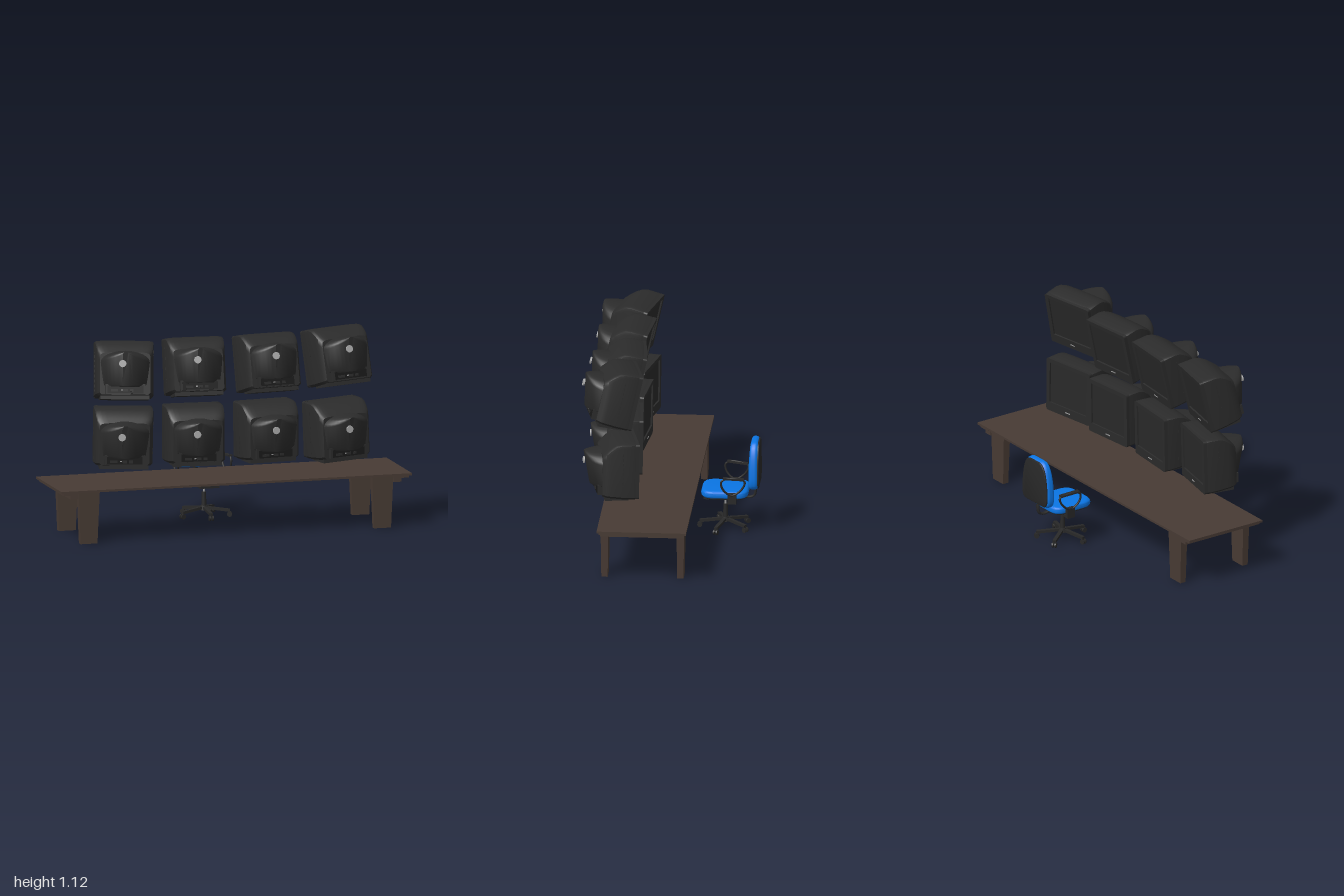
import * as THREE from 'three';
import { toCreasedNormals } from 'three/addons/utils/BufferGeometryUtils.js';

const mat = (name, color) => {
  const m = new THREE.MeshStandardMaterial({ color });
  m.name = name;
  return m;
};
const wood = mat('dark wood', 0x483b34);
const blue = mat('blue fabric', 0x0a75e4);
const casing = mat('monitor casing', 0x2b2b2b);
const glass = mat('screen glass', 0x292929);
const recess = mat('dark recess', 0x191919);
const black = mat('black plastic', 0x282828);
const metal = mat('grey metal', 0x9a9a9a);
const silver = mat('light silver', 0xacacac);

function add(parent, name, geo, material, x = 0, y = 0, z = 0) {
  const m = new THREE.Mesh(geo, material);
  m.name = name;
  m.position.set(x, y, z);
  parent.add(m);
  return m;
}
const box = (w, h, d) => new THREE.BoxGeometry(w, h, d);
const cyl = (r0, r1, h, n = 16) => new THREE.CylinderGeometry(r0, r1, h, n);

// Closed hull through sections [z, halfWidth, bottom, top, crown]; e shapes the crown (1 = round, small = square)
// and lean pulls the lower part of the rear forwards
function loft(sections, e, lean = 0) {
  const rings = sections.map(([z, w, yb, yt, c]) => {
    const r = Math.min(0.012, w * 0.3);
    const ring = [[-w, yb + r, z], [-w + r, yb, z], [w - r, yb, z], [w, yb + r, z]];
    for (let i = 0; i <= 12; i++) {
      const t = (i / 12) * Math.PI, k = Math.cos(t);
      ring.push([Math.sign(k) * w * Math.abs(k) ** e, yt - c + c * Math.max(0, Math.sin(t)) ** e, z]);
    }
    return ring.map(([x, y, d]) => [x, y, d - lean * Math.max(0, 0.04 - y)]);
  });
  const n = rings[0].length, idx = [], last = (rings.length - 1) * n;
  for (let i = 0; i < rings.length - 1; i++)
    for (let j = 0; j < n; j++) {
      const a = i * n + j, b = i * n + (j + 1) % n;
      idx.push(a, b, b + n, a, b + n, a + n);
    }
  for (let j = 1; j < n - 1; j++) idx.push(0, j + 1, j, last, last + j, last + j + 1);
  const g = new THREE.BufferGeometry();
  g.setAttribute('position', new THREE.Float32BufferAttribute(rings.flat(2), 3));
  g.setIndex(idx);
  return toCreasedNormals(g, 0.6);
}

// Half-round tube housing, seen from above as a half ellipse
function dome(z0, depth, w, yb, yt, drop, crown, lean) {
  const s = [];
  for (let i = 0; i <= 10; i++) {
    const t = (i / 10) * 1.45;
    s.push([z0 + depth * Math.sin(t), w * Math.cos(t), yb, yt - drop * Math.sin(t), crown * Math.cos(t) + 0.004]);
  }
  return loft(s, 1, lean);
}

function roundedRect(w, h, r, rTop = r) {
  const s = new THREE.Shape(), x = w / 2, y = h / 2;
  s.moveTo(-x + r, -y);
  s.lineTo(x - r, -y);
  s.quadraticCurveTo(x, -y, x, -y + r);
  s.lineTo(x, y - rTop);
  s.quadraticCurveTo(x, y, x - rTop, y);
  s.lineTo(-x + rTop, y);
  s.quadraticCurveTo(-x, y, -x, y - rTop);
  s.lineTo(-x, -y + r);
  s.quadraticCurveTo(-x, -y, -x + r, -y);
  return s;
}
// Cushion centred on its own thickness (z)
function cushion(shape, thick, bevel) {
  const g = new THREE.ExtrudeGeometry(shape, {
    depth: thick - 2 * bevel, bevelEnabled: true, bevelThickness: bevel,
    bevelSize: bevel, bevelOffset: -bevel, bevelSegments: 4, curveSegments: 10 });
  g.translate(0, 0, -(thick - 2 * bevel) / 2);
  return toCreasedNormals(g, 0.7);
}

function makeMonitor() {
  const g = new THREE.Group();
  // bezel frame around the recessed screen, which faces -z
  const frame = roundedRect(0.322, 0.312, 0.014);
  frame.holes.push(new THREE.Path([[-0.137, -0.105], [-0.137, 0.133], [0.137, 0.133], [0.137, -0.105]]
    .map(([x, y]) => new THREE.Vector2(x, y))));
  add(g, 'bezel', new THREE.ExtrudeGeometry(frame, { depth: 0.022, bevelEnabled: false }), casing, 0, 0, -0.004);
  add(g, 'screen', box(0.276, 0.24, 0.008), glass, 0, 0.014, 0.009);
  add(g, 'button', box(0.035, 0.005, 0.004), metal, 0, -0.131, -0.004);
  // casing, sloping down to the half-round rear housing
  add(g, 'case', loft([[0.012, 0.16, -0.156, 0.156, 0.022], [0.025, 0.163, -0.158, 0.159, 0.022],
    [0.09, 0.162, -0.155, 0.158, 0.022], [0.12, 0.16, -0.152, 0.151, 0.025], [0.15, 0.157, -0.15, 0.133, 0.035],
    [0.175, 0.152, -0.147, 0.11, 0.04], [0.195, 0.138, -0.143, 0.09, 0.045]], 0.35), casing);
  add(g, 'rearHousing', dome(0.135, 0.148, 0.148, -0.1, 0.105, 0.018, 0.065, 0.24), casing);
  add(g, 'foot', box(0.27, 0.022, 0.13), casing, 0, -0.156, 0.115);
  // rear connector panel
  add(g, 'connectorBlock', box(0.22, 0.055, 0.06), casing, 0, -0.112, 0.188);
  add(g, 'connectorPanel', box(0.195, 0.042, 0.006), recess, 0, -0.114, 0.217);
  for (const [x, w] of [[-0.06, 0.04], [0, 0.025], [0.035, 0.02]])
    add(g, 'socket', box(w, 0.014, 0.005), casing, x, -0.12, 0.221);
  add(g, 'socketPin', box(0.01, 0.006, 0.004), metal, -0.02, -0.118, 0.221);
  const badge = add(g, 'badge', cyl(0.02, 0.02, 0.008, 20), silver, -0.02, 0.024, 0.28);
  badge.rotation.x = Math.PI / 2;
  // cooling ribs on both sides
  for (let i = -4; i <= 4; i++)
    for (const s of [-1, 1]) add(g, 'sideRib', box(0.004, 0.016, 0.004), casing, s * 0.161, i * 0.027 - 0.01, 0.085);
  return g;
}

function makeTable() {
  const g = new THREE.Group();
  g.name = 'table';
  add(g, 'tableTop', box(2, 0.012, 0.49), wood, 0, 0.293, 0.11);
  for (const s of [-1, 1]) {
    add(g, 'endRail', box(0.07, 0.014, 0.47), wood, s * 0.95, 0.281, 0.11);
    add(g, 'endBeam', box(0.045, 0.036, 0.46), wood, s * 0.922, 0.27, 0.11);
    for (const z of [0.32, -0.096]) {
      const leg = box(0.12, 0.288, 0.042), p = leg.attributes.position;
      for (let i = 0; i < p.count; i++)
        if (p.getY(i) < 0) { p.setX(i, p.getX(i) * 0.8); p.setZ(i, p.getZ(i) * 0.83); }
      leg.computeVertexNormals();
      add(g, 'tableLeg', leg, wood, s * 0.837, 0.144, z);
    }
  }
  return g;
}

function tube(points, r, closed = false) {
  const c = new THREE.CatmullRomCurve3(points.map(p => new THREE.Vector3(...p)), closed);
  return new THREE.TubeGeometry(c, 36, r, 8, closed);
}

function makeChair() {
  const g = new THREE.Group();
  g.name = 'chair';
  g.position.z = -0.275;
  // seat and pan
  const seat = cushion(roundedRect(0.245, 0.26, 0.07, 0.075), 0.042, 0.02).rotateX(Math.PI / 2);
  add(g, 'seat', seat, blue, 0, 0.22, 0);
  const pan = cushion(roundedRect(0.215, 0.225, 0.06), 0.016, 0.006).rotateX(Math.PI / 2);
  add(g, 'seatPan', pan, black, 0, 0.199, 0);
  add(g, 'mechanism', box(0.11, 0.024, 0.125), black, 0, 0.188, 0.055);
  // backrest with black rear shell; the cushion thins towards its top
  const back = new THREE.Shape();
  back.moveTo(-0.08, -0.132);
  back.lineTo(0.08, -0.132);
  back.bezierCurveTo(0.115, -0.132, 0.124, -0.105, 0.122, -0.06);
  back.bezierCurveTo(0.118, 0.02, 0.105, 0.132, 0.045, 0.132);
  back.lineTo(-0.045, 0.132);
  back.bezierCurveTo(-0.105, 0.132, -0.118, 0.02, -0.122, -0.06);
  back.bezierCurveTo(-0.124, -0.105, -0.115, -0.132, -0.08, -0.132);
  const rest = new THREE.Group();
  rest.name = 'backrest';
  rest.position.set(0, 0.382, -0.16);
  g.add(rest);
  const cushionGeo = cushion(back, 0.054, 0.022), p = cushionGeo.attributes.position;
  for (let i = 0; i < p.count; i++)
    if (p.getZ(i) > 0) p.setZ(i, p.getZ(i) * (1 - 2.2 * Math.max(0, p.getY(i))));
  add(rest, 'backCushion', cushionGeo, blue);
  add(rest, 'backShell', cushion(back, 0.012, 0.005).scale(0.94, 0.95, 1), black, 0, 0, -0.024);
  add(g, 'backSupport', tube([[0, 0.188, -0.02], [0, 0.184, -0.09], [0, 0.178, -0.13], [0, 0.188, -0.156],
    [0, 0.215, -0.165], [0, 0.262, -0.163]], 0.007).scale(1.8, 1, 1), black);
  // arm loops on side brackets
  for (const s of [-1, 1]) {
    add(g, 'armBracket', box(0.02, 0.06, 0.048), black, s * 0.136, 0.21, -0.045);
    add(g, 'bracketBar', box(0.1, 0.014, 0.04), black, s * 0.09, 0.187, -0.045);
    add(g, 'armLoop', tube([[s * 0.142, 0.235, -0.03], [s * 0.15, 0.27, 0.005], [s * 0.152, 0.312, 0.012],
      [s * 0.15, 0.329, -0.02], [s * 0.142, 0.324, -0.08], [s * 0.136, 0.31, -0.115],
      [s * 0.138, 0.275, -0.105], [s * 0.142, 0.235, -0.06]], 0.006, true), black);
    const pad = add(g, 'armPad', box(0.028, 0.009, 0.115), black, s * 0.143, 0.326, -0.055);
    pad.rotation.set(-0.08, s * 0.12, 0);
  }
  // gas lift
  add(g, 'liftSleeve', cyl(0.012, 0.014, 0.09), black, 0, 0.093, 0);
  add(g, 'liftRod', cyl(0.006, 0.006, 0.06), metal, 0, 0.158, 0);
  add(g, 'hub', cyl(0.02, 0.024, 0.025), black, 0, 0.05, 0);
  // five-star base with twin-wheel casters
  for (let i = 0; i < 5; i++) {
    const arm = new THREE.Group();
    arm.name = 'baseArm';
    arm.rotation.y = (i / 5) * Math.PI * 2;
    g.add(arm);
    const spoke = add(arm, 'spoke', box(0.02, 0.015, 0.135), black, 0, 0.043, 0.075);
    spoke.rotation.x = 0.12;
    add(arm, 'casterStem', cyl(0.006, 0.006, 0.025, 8), black, 0, 0.026, 0.138);
    for (const s of [-1, 1]) {
      const wheel = add(arm, 'casterWheel', cyl(0.014, 0.014, 0.009), black, s * 0.008, 0.014, 0.141);
      wheel.rotation.z = Math.PI / 2;
    }
  }
  return g;
}

export function createModel() {
  const model = new THREE.Group();
  model.name = 'controlDesk';
  model.add(makeTable(), makeChair());
  // two rows of monitors curving around the chair: x, z, yaw, roll, lower y, upper y
  const columns = [[-0.6, 0.176, -0.22, -0.02, 0.571, 0.926], [-0.205, 0.168, -0.09, 0, 0.565, 0.925],
    [0.193, 0.168, 0.09, 0, 0.565, 0.925], [0.58, 0.176, 0.2, 0.03, 0.552, 0.943]];
  for (const [x, z, yaw, roll, lowY, highY] of columns)
    for (const upper of [false, true]) {
      const m = makeMonitor();
      m.name = upper ? 'upperMonitor' : 'lowerMonitor';
      m.position.set(x, upper ? highY : lowY, upper ? z + 0.012 : z);
      m.rotation.set(upper ? -0.225 : -0.02, yaw, roll, 'YXZ');
      model.add(m);
    }
  return model;
}
